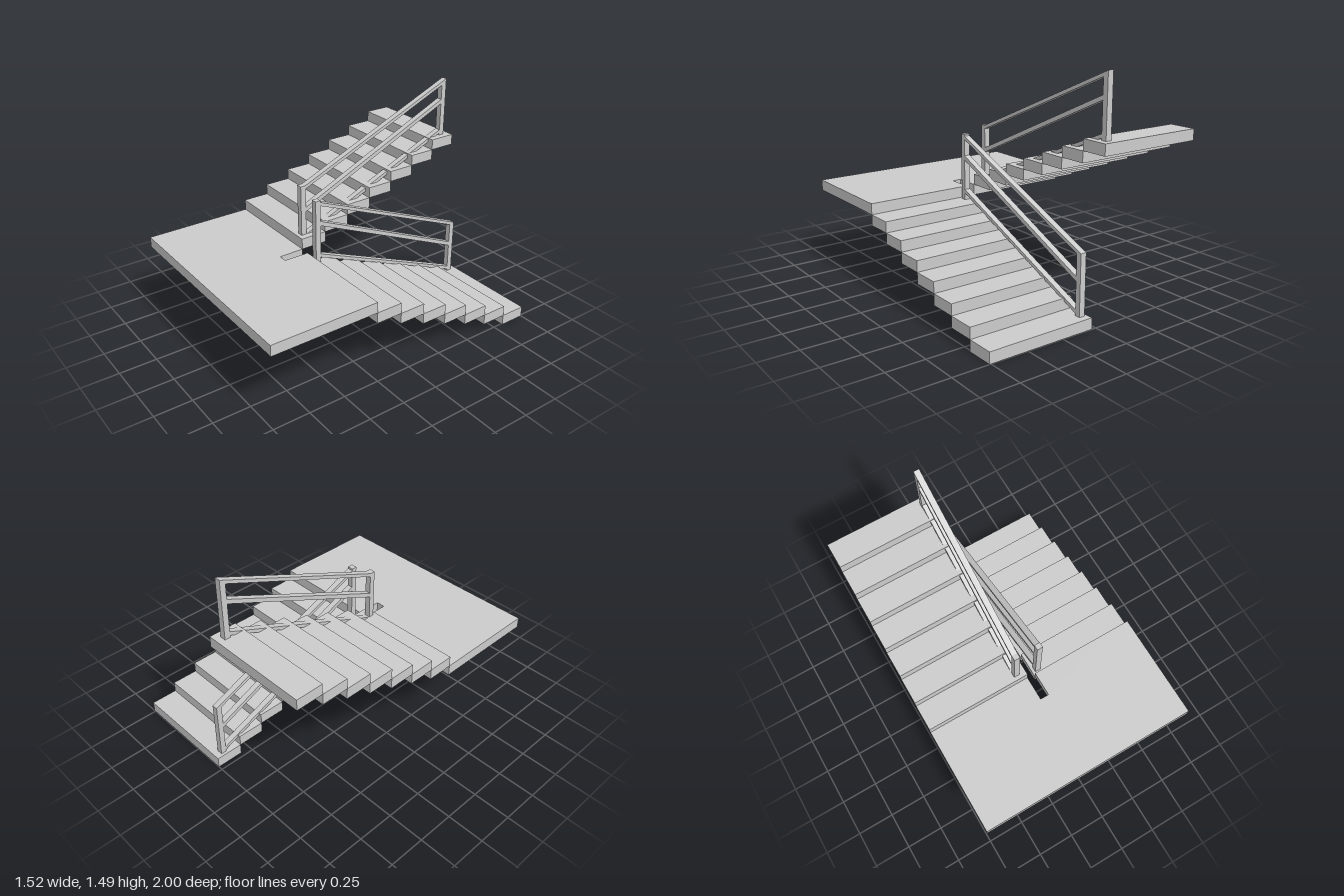
import * as THREE from 'three';

const RISE = 1.09 / 15;          // height of one step
const RUN = 1.27 / 7;            // depth of one step
const STEPS = 7;
const INNER = 0.03, OUTER = 0.76; // flight edges measured from the centre line
const RAIL_W = 0.04;

const material = new THREE.MeshStandardMaterial({ color: 0xcccccc, flatShading: true });

function box(name, x0, x1, y0, y1, z0, z1) {
  const mesh = new THREE.Mesh(new THREE.BoxGeometry(x1 - x0, y1 - y0, z1 - z0), material);
  mesh.position.set((x0 + x1) / 2, (y0 + y1) / 2, (z0 + z1) / 2);
  mesh.name = name;
  return mesh;
}

// Sloping bar with upright ends, from (zA, yA) at the landing to (zB, yB) at the back
function slopedBar(name, x, zA, yA, zB, yB, thick) {
  const h = thick / 2;
  const shape = new THREE.Shape([
    new THREE.Vector2(-zA, yA - h), new THREE.Vector2(-zB, yB - h),
    new THREE.Vector2(-zB, yB + h), new THREE.Vector2(-zA, yA + h),
  ]);
  const geo = new THREE.ExtrudeGeometry(shape, { depth: RAIL_W, bevelEnabled: false });
  geo.translate(0, 0, -RAIL_W / 2).rotateY(Math.PI / 2);
  const mesh = new THREE.Mesh(geo, material);
  mesh.position.x = x;
  mesh.name = name;
  return mesh;
}

// Seven solid treads; level(i) gives the underside of the i-th tread from the back
function flight(name, x0, x1, level) {
  const group = new THREE.Group();
  group.name = name;
  for (let i = 0; i < STEPS; i++) {
    const y = level(i), z = -1 + i * RUN;
    group.add(box('tread', x0, x1, y, y + RISE, z, z + RUN));
  }
  return group;
}

// Two posts with three sloping rails; each rail is [front height, back height, thickness]
function railing(name, x, frontPost, backPost, rails) {
  const group = new THREE.Group();
  group.name = name;
  const a = x - RAIL_W / 2, b = x + RAIL_W / 2;
  group.add(box('frontPost', a, b, ...frontPost, 0.206, 0.243));
  group.add(box('backPost', a, b, ...backPost, -0.957, -0.92));
  const [top, middle, bottom] = rails;
  group.add(slopedBar('handrail', x, 0.21, top[0], -0.957, top[1], top[2]));
  group.add(slopedBar('middleRail', x, 0.21, middle[0], -0.925, middle[1], middle[2]));
  group.add(slopedBar('bottomRail', x, 0.21, bottom[0], -0.925, bottom[1], bottom[2]));
  return group;
}

// Landing slab with a notch continuing the gap between the flights
function landing() {
  const front = 1, back = -1 + STEPS * RUN, notch = 0.44;
  const shape = new THREE.Shape([
    [-OUTER, -front], [OUTER, -front], [OUTER, -back], [INNER, -back],
    [INNER, -notch], [-INNER, -notch], [-INNER, -back], [-OUTER, -back],
  ].map(([x, y]) => new THREE.Vector2(x, y)));
  const geo = new THREE.ExtrudeGeometry(shape, { depth: RISE, bevelEnabled: false });
  geo.rotateX(-Math.PI / 2);
  const mesh = new THREE.Mesh(geo, material);
  mesh.position.y = STEPS * RISE;
  mesh.name = 'landing';
  return mesh;
}

export function createModel() {
  const model = new THREE.Group();
  model.name = 'staircase';

  model.add(landing());
  model.add(flight('lowerFlight', INNER, OUTER, (i) => i * RISE));
  model.add(flight('upperFlight', -OUTER, -INNER, (i) => (14 - i) * RISE));

  model.add(railing('lowerRailing', 0.07, [7 * RISE, 0.957], [RISE, 0.462],
    [[0.934, 0.45, 0.024], [0.799, 0.297, 0.03], [0.569, 0.096, 0.024]]));
  model.add(railing('upperRailing', -0.095, [9 * RISE, 0.999], [15 * RISE, 1.475],
    [[0.986, 1.478, 0.024], [0.829, 1.336, 0.03], [0.638, 1.118, 0.025]]));

  return model;
}
